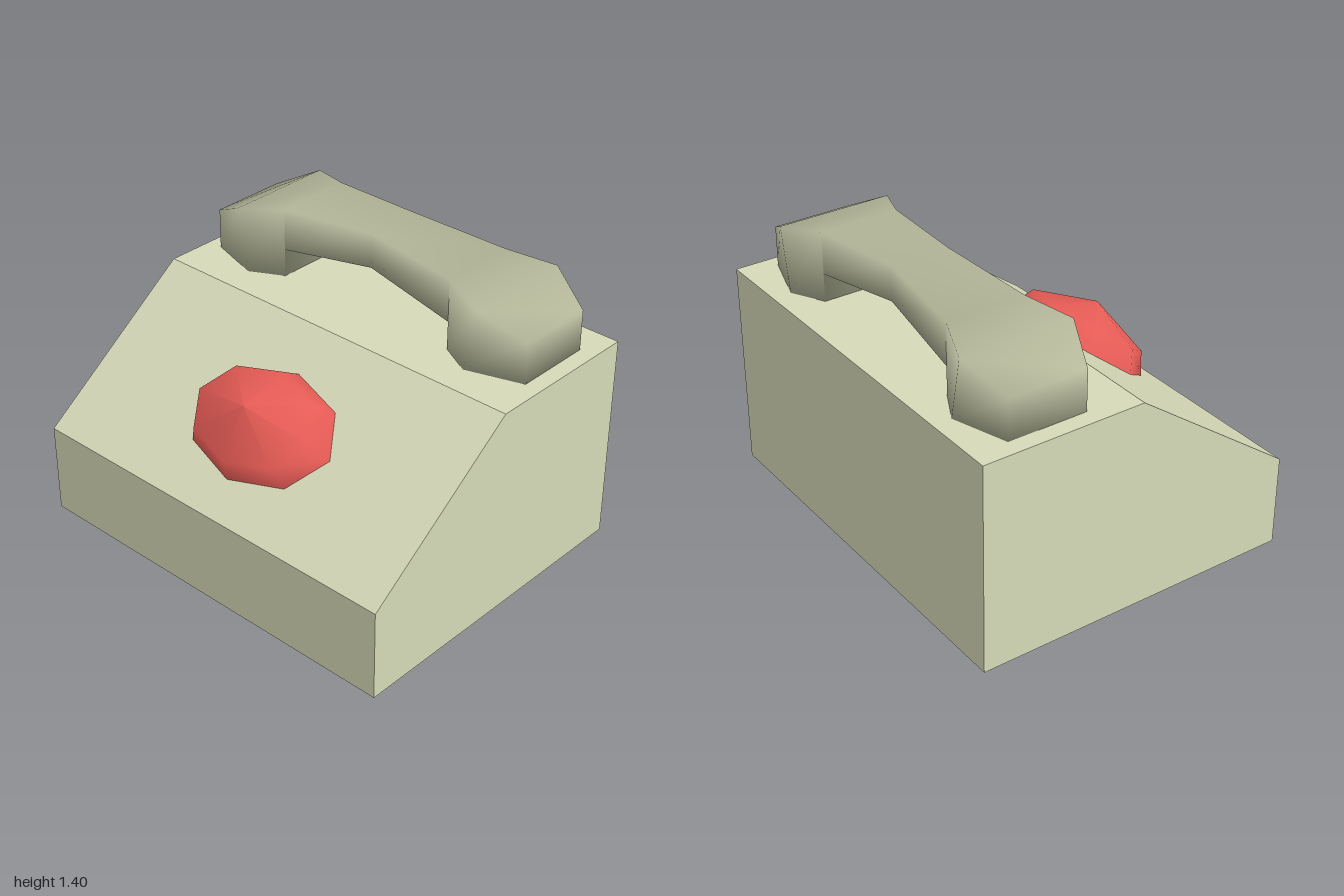
import * as THREE from 'three';
import { mergeVertices } from 'three/addons/utils/BufferGeometryUtils.js';

const flatColour = (name, color) => {
  const m = new THREE.MeshStandardMaterial({ color });
  m.name = name;
  m.side = THREE.DoubleSide;
  return m;
};

function addMesh(group, name, geometry, material) {
  const mesh = new THREE.Mesh(geometry, material);
  mesh.name = name;
  group.add(mesh);
  return mesh;
}

function meshGeometry(points, index) {
  const g = new THREE.BufferGeometry();
  g.setAttribute('position', new THREE.Float32BufferAttribute(points.flat(), 3));
  g.setIndex(index);
  return g;
}

// Wedge housing, open underneath; profile is [z, y] from front foot to back foot
const PROFILE = [[0.8, 0], [0.8, 0.445], [0, 1.025], [-0.8, 1.025], [-0.8, 0]];

function wrapGeometry() {
  const points = [], index = [];
  for (let i = 0; i < PROFILE.length - 1; i++) {
    const [z0, y0] = PROFILE[i], [z1, y1] = PROFILE[i + 1], k = points.length;
    points.push([-1, y0, z0], [1, y0, z0], [1, y1, z1], [-1, y1, z1]);
    index.push(k, k + 1, k + 2, k, k + 2, k + 3);
  }
  const g = meshGeometry(points, index);
  g.computeVertexNormals();
  return g;
}

// Handset lofted along x through four-cornered sections, smooth all over
function handsetGeometry() {
  const zMid = -0.43, foot = 1.027;
  // [top x, bottom x, top y, bottom y, half depth]
  const half = [
    [0.49, 0.49, 1.37, 1.165, 0.195],
    [0.49, 0.49, 1.37, foot, 0.195],
    [0.71, 0.65, 1.335, foot, 0.28],
    [0.92, 0.92, 1.225, foot, 0.195],
  ];
  const mirrored = half.map(([a, b, ...rest]) => [-a, -b, ...rest]).reverse();
  const sections = [...mirrored, [0, 0, 1.4, 1.23, 0.145], ...half];

  const points = [], index = [];
  sections.forEach(([xt, xb, top, bottom, d], i) => {
    points.push([xt, top, zMid - d], [xt, top, zMid + d], [xb, bottom, zMid + d], [xb, bottom, zMid - d]);
    if (i === sections.length - 1) return;
    for (let j = 0; j < 4; j++) {
      const a = i * 4 + j, e = i * 4 + (j + 1) % 4;
      index.push(a, e, a + 4, a + 4, e, e + 4);
    }
  });
  const last = (sections.length - 1) * 4;
  index.push(0, 2, 1, 0, 3, 2, last, last + 1, last + 2, last, last + 2, last + 3);
  const g = mergeVertices(meshGeometry(points, index));
  g.computeVertexNormals();
  return g;
}

export function createModel() {
  const model = new THREE.Group();
  model.name = 'telephone';
  const cream = flatColour('pale olive cream', 0xd6dab8);
  const olive = flatColour('greyed olive', 0xb6b99b);
  const red = flatColour('soft red', 0xe85c56);

  // Housing
  const body = new THREE.Group();
  body.name = 'body';
  model.add(body);
  addMesh(body, 'bodyShell', wrapGeometry(), cream);
  const side = new THREE.ShapeGeometry(new THREE.Shape(PROFILE.map(([z, y]) => new THREE.Vector2(-z, y))));
  for (const s of [1, -1]) {
    // shape x runs towards the back, so a quarter turn faces it outward on +x
    const g = side.clone().rotateY(Math.PI / 2);
    if (s < 0) {
      // mirrored wall: reverse the winding and the normals
      g.index.array.reverse();
      g.computeVertexNormals();
    }
    addMesh(body, s > 0 ? 'leftWall' : 'rightWall', g, cream).position.x = s;
  }

  // Faceted dial dome on the slope, its open rim poking through
  const dome = [[1, -0.05], [1, 0], [0.84, 0.1], [0, 0.2]].map(([r, y]) => new THREE.Vector2(r, y));
  const dial = addMesh(model, 'dial', new THREE.LatheGeometry(dome, 8), red);
  dial.scale.set(0.4, 1, 0.283);
  dial.rotation.x = Math.atan2(0.58, 0.8);
  dial.position.set(0, 0.72, 0.42);

  // Handset
  addMesh(model, 'handset', handsetGeometry(), olive);
  return model;
}
